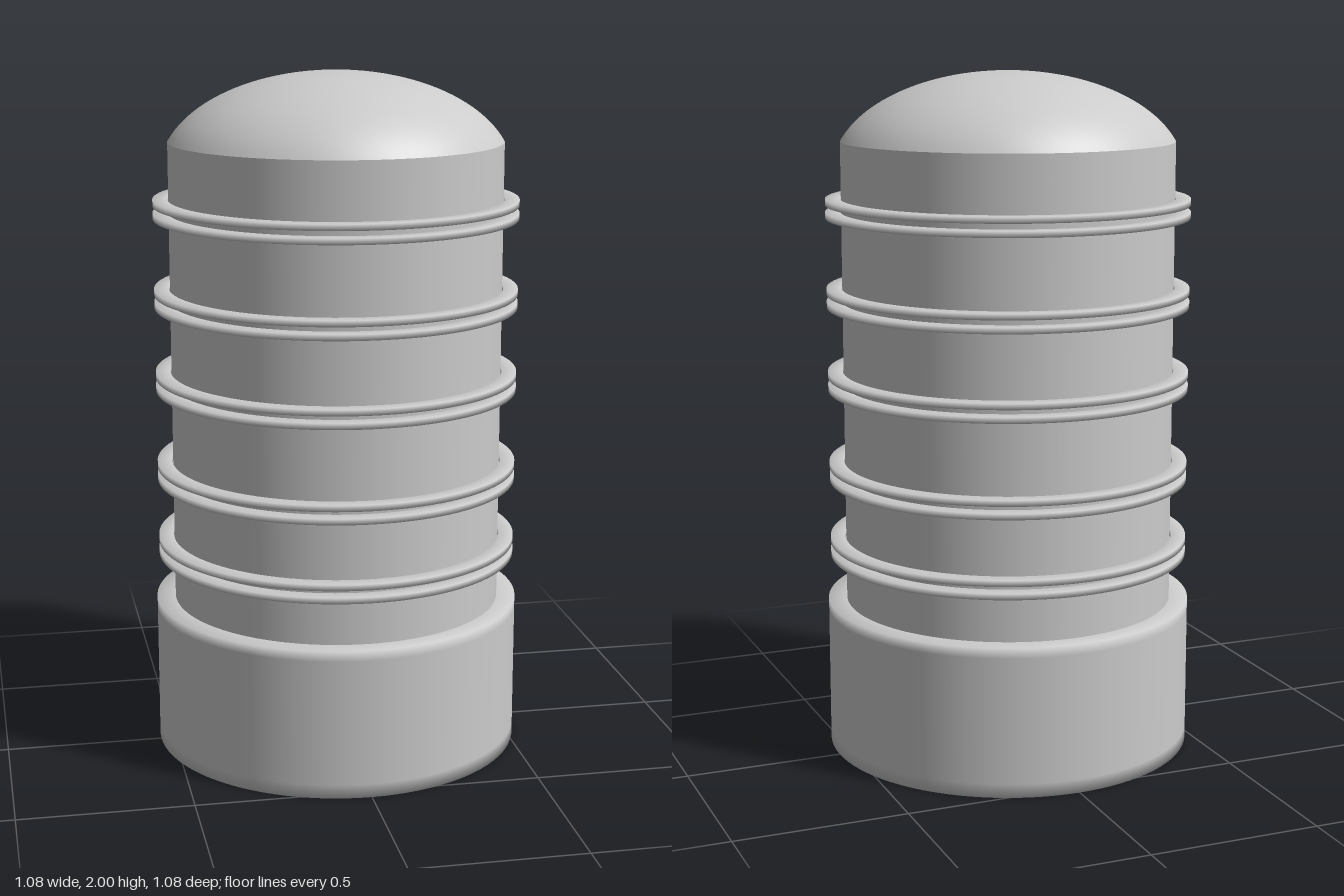
import * as THREE from 'three';

const SEGMENTS = 96;
const material = new THREE.MeshStandardMaterial({ color: 0xcccccc });

// Turned part from [radius, height] pairs, listed from the bottom up
function turned(name, profile) {
  const points = profile.map(([r, y]) => new THREE.Vector2(r, y));
  const mesh = new THREE.Mesh(new THREE.LatheGeometry(points, SEGMENTS), material);
  mesh.name = name;
  return mesh;
}

export function createModel() {
  const model = new THREE.Group();
  model.name = 'ringedCapsule';

  const bodyR = 0.485, shoulderY = 1.8;

  // Wide base with softly shaded edges
  model.add(turned('base', [
    [0, 0], [0.5, 0], [0.54, 0], [0.54, 0.04], [0.54, 0.41], [0.54, 0.44], [bodyR - 0.005, 0.44],
  ]));

  // Straight body
  model.add(turned('body', [[bodyR, 0.42], [bodyR, shoulderY]]));

  // Shallow dome: an ellipse cut off just above its widest point
  const a = 0.51, b = 0.29, start = Math.acos(bodyR / a);
  const dome = [];
  for (let i = 0; i <= 24; i++) {
    const t = start + (Math.PI / 2 - start) * (i / 24);
    dome.push([i === 24 ? 0 : a * Math.cos(t), 2 - b + b * Math.sin(t)]);
  }
  dome[0] = [bodyR, shoulderY];
  model.add(turned('dome', dome));

  // Five pairs of thin rings
  const inner = 0.488, outer = 0.531, half = 0.009;
  [0.604, 0.832, 1.102, 1.348, 1.608].forEach((y) => {
    const pair = new THREE.Group();
    pair.name = 'ringPair';
    for (const side of [-1, 1]) {
      const ring = turned('ring', [
        [inner, 0], [inner, -half], [outer, -half], [outer, half], [inner, half], [inner, 0],
      ]);
      ring.position.y = y + side * 0.019;
      pair.add(ring);
    }
    model.add(pair);
  });

  return model;
}
